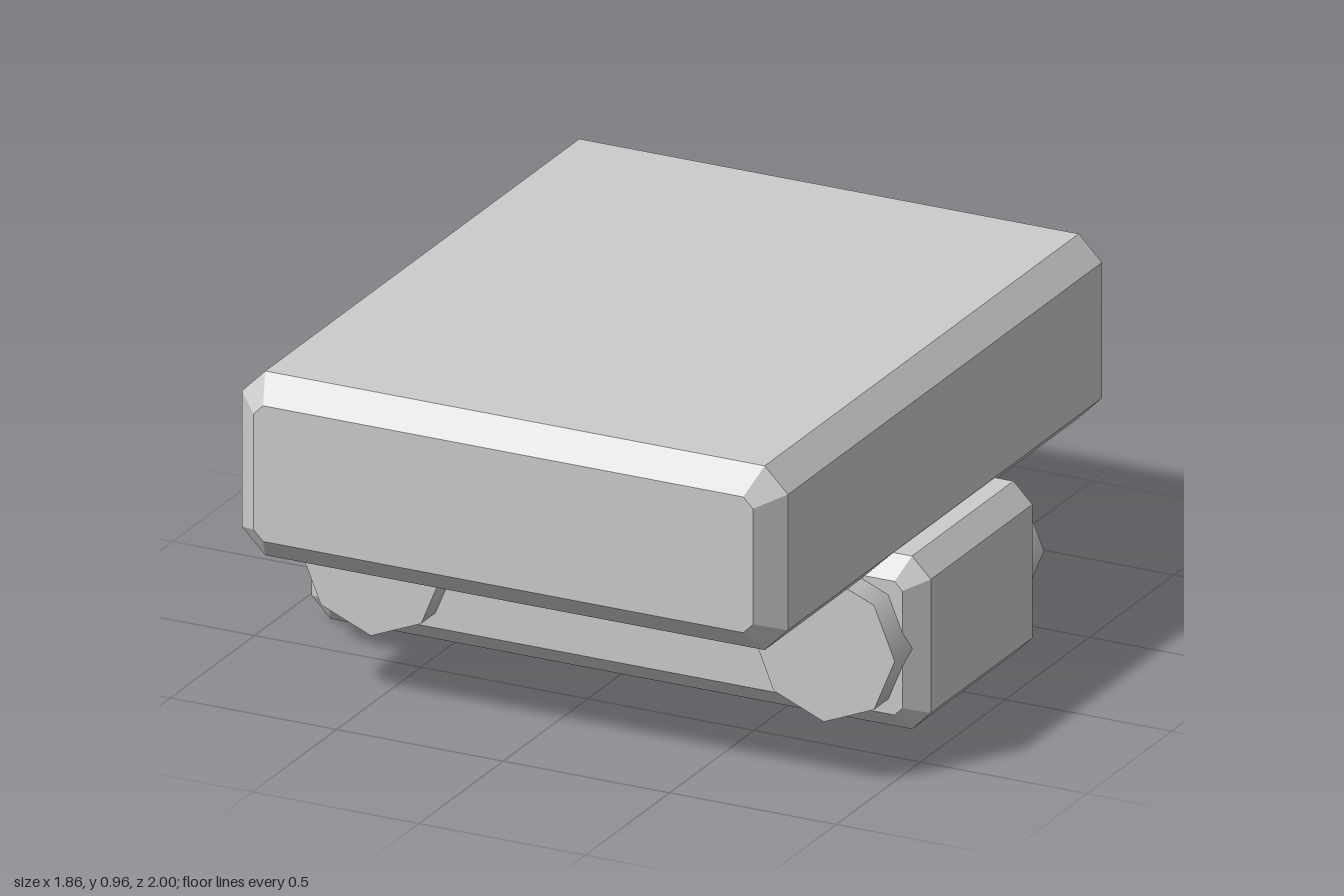
import * as THREE from 'three';

// Box with all twelve edges cut at 45 degrees, standing on y = bottom
function chamferedBox(width, bottom, top, depth, cut, material, name) {
  const w = width / 2, h = (top - bottom) / 2, c = cut;
  const outline = new THREE.Shape([
    [w, -h + c], [w, h - c], [w - c, h], [-w + c, h],
    [-w, h - c], [-w, -h + c], [-w + c, -h], [w - c, -h],
  ].map(([x, y]) => new THREE.Vector2(x, y)));
  const geometry = new THREE.ExtrudeGeometry(outline, {
    depth: depth - 2 * c, bevelEnabled: true, bevelSegments: 1,
    bevelSize: c, bevelThickness: c, bevelOffset: -c,
  });
  geometry.translate(0, (bottom + top) / 2, -depth / 2 + c);
  const mesh = new THREE.Mesh(geometry, material);
  mesh.name = name;
  return mesh;
}

export function createModel() {
  const model = new THREE.Group();
  model.name = 'model';
  const grey = new THREE.MeshStandardMaterial({ name: 'grey', color: 0xcccccc });

  // Large slab resting on a narrower crossbar
  model.add(chamferedBox(1.64, 0.433, 0.965, 2, 0.07, grey, 'topSlab'));
  model.add(chamferedBox(1.86, 0, 0.5, 0.715, 0.057, grey, 'baseBar'));

  // Eight-sided pins running through the bar, one near each end
  const pinGeometry = new THREE.CylinderGeometry(0.213, 0.213, 0.884, 8);
  pinGeometry.rotateX(Math.PI / 2);
  for (const [side, name] of [[1, 'leftPin'], [-1, 'rightPin']]) {
    const pin = new THREE.Mesh(pinGeometry, grey);
    pin.name = name;
    pin.position.set(side * 0.68, 0.25, 0);
    model.add(pin);
  }
  return model;
}
